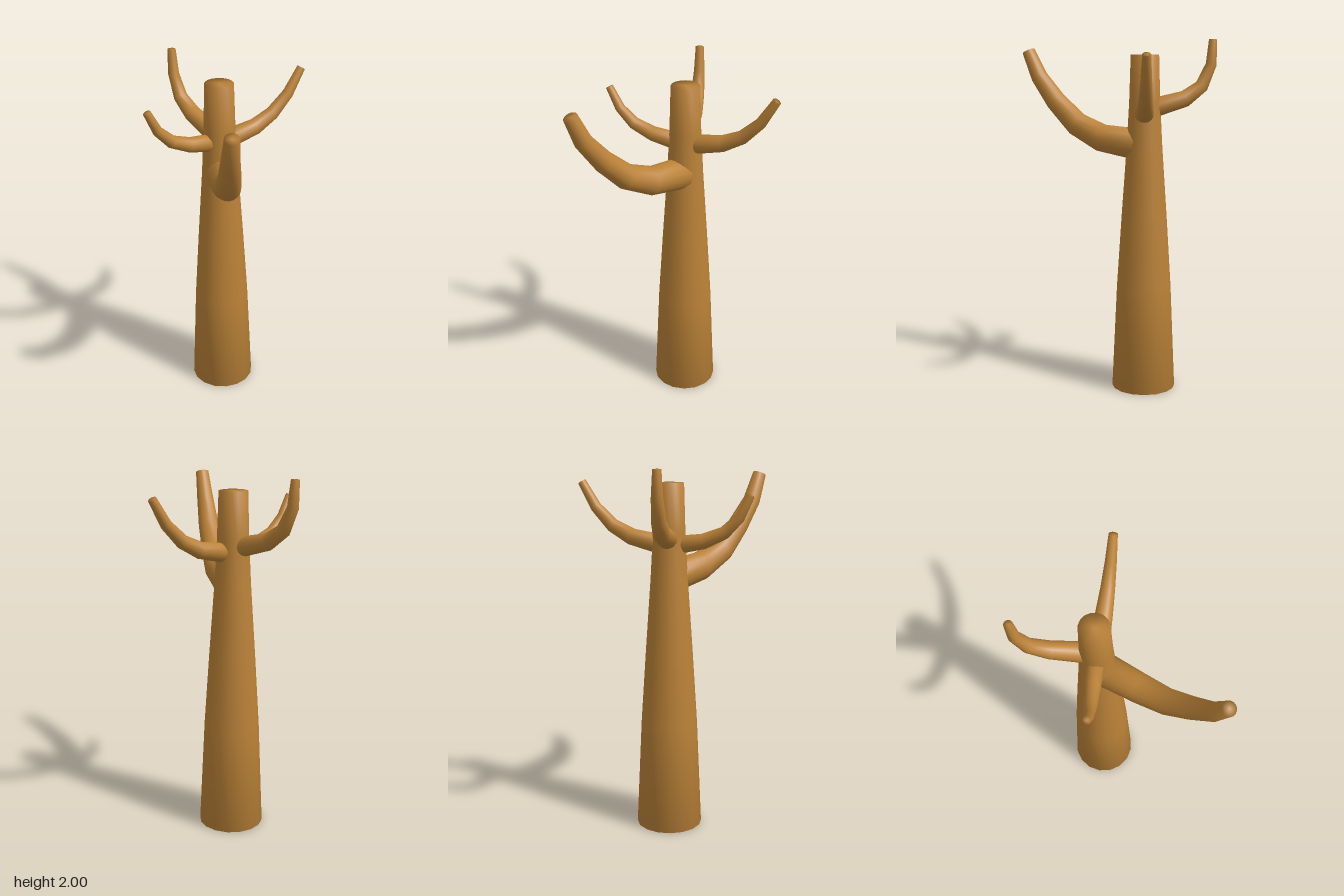
import * as THREE from 'three';

const bark = new THREE.MeshStandardMaterial({ color: 0xbb8238 });
const axis = { x: -0.04, z: -0.152 };

// Tapered limb: rings swept along a path lying in one vertical plane, with closed ends
function limbGeometry(path, r0, r1, sides = 16) {
  const pts = path.map(p => new THREE.Vector3(...p));
  const last = pts.length - 1;
  const run = pts[last].clone().sub(pts[0]).setY(0).normalize();
  const side = new THREE.Vector3(run.z, 0, -run.x);
  const pos = [], index = [];
  pts.forEach((p, i) => {
    const before = p.clone().sub(pts[Math.max(i - 1, 0)]).normalize();
    const after = pts[Math.min(i + 1, last)].clone().sub(p).normalize();
    const t = before.add(after).normalize();
    const up = t.clone().cross(side).normalize();
    const r = THREE.MathUtils.lerp(r0, r1, i / last);
    for (let j = 0; j < sides; j++) {
      const a = (j / sides) * Math.PI * 2;
      const v = p.clone().addScaledVector(side, r * Math.cos(a)).addScaledVector(up, r * Math.sin(a));
      pos.push(v.x, v.y, v.z);
    }
  });
  pos.push(...pts[0].toArray(), ...pts[last].toArray());
  const startCentre = pts.length * sides;
  for (let j = 0; j < sides; j++) {
    const k = (j + 1) % sides;
    for (let i = 0; i < last; i++) {
      const a = i * sides, b = a + sides;
      index.push(a + j, a + k, b + j, a + k, b + k, b + j);
    }
    index.push(startCentre, k, j);
    index.push(startCentre + 1, last * sides + j, last * sides + k);
  }
  const g = new THREE.BufferGeometry();
  g.setAttribute('position', new THREE.Float32BufferAttribute(pos, 3));
  g.setIndex(index);
  g.computeVertexNormals();
  return g;
}

export function createModel() {
  const group = new THREE.Group();
  group.name = 'bareTree';

  const add = (name, geometry) => {
    const mesh = new THREE.Mesh(geometry, bark);
    mesh.name = name;
    group.add(mesh);
    return mesh;
  };

  // Trunk: tapering lathe, closed at foot and top
  const profile = [[0, 0], [0.182, 0], [0.155, 0.6], [0.129, 1], [0.101, 1.4], [0.087, 1.65], [0.079, 1.915], [0, 1.915]]
    .map(([r, y]) => new THREE.Vector2(r, y));
  add('trunk', new THREE.LatheGeometry(profile, 16)).position.set(axis.x, 0, axis.z);

  // Thick lower branch reaching forward
  add('frontBranch', limbGeometry([
    [-0.045, 1.415, -0.12], [-0.135, 1.445, 0.09], [-0.21, 1.52, 0.235],
    [-0.27, 1.65, 0.36], [-0.322, 1.79, 0.46], [-0.348, 1.937, 0.522],
  ], 0.09, 0.038));

  // Thinner upper branches
  add('leftBranch', limbGeometry([
    [0.03, 1.592, -0.148], [0.18, 1.622, -0.148], [0.29, 1.678, -0.147],
    [0.39, 1.775, -0.146], [0.472, 1.91, -0.145],
  ], 0.053, 0.023));

  add('rightBranch', limbGeometry([
    [-0.1, 1.59, -0.147], [-0.23, 1.612, -0.138], [-0.34, 1.66, -0.128],
    [-0.42, 1.74, -0.121], [-0.477, 1.855, -0.115],
  ], 0.048, 0.021));

  add('backBranch', limbGeometry([
    [-0.05, 1.62, -0.2], [-0.085, 1.67, -0.38], [-0.107, 1.74, -0.475],
    [-0.119, 1.86, -0.528], [-0.122, 2, -0.537],
  ], 0.055, 0.023));

  return group;
}
